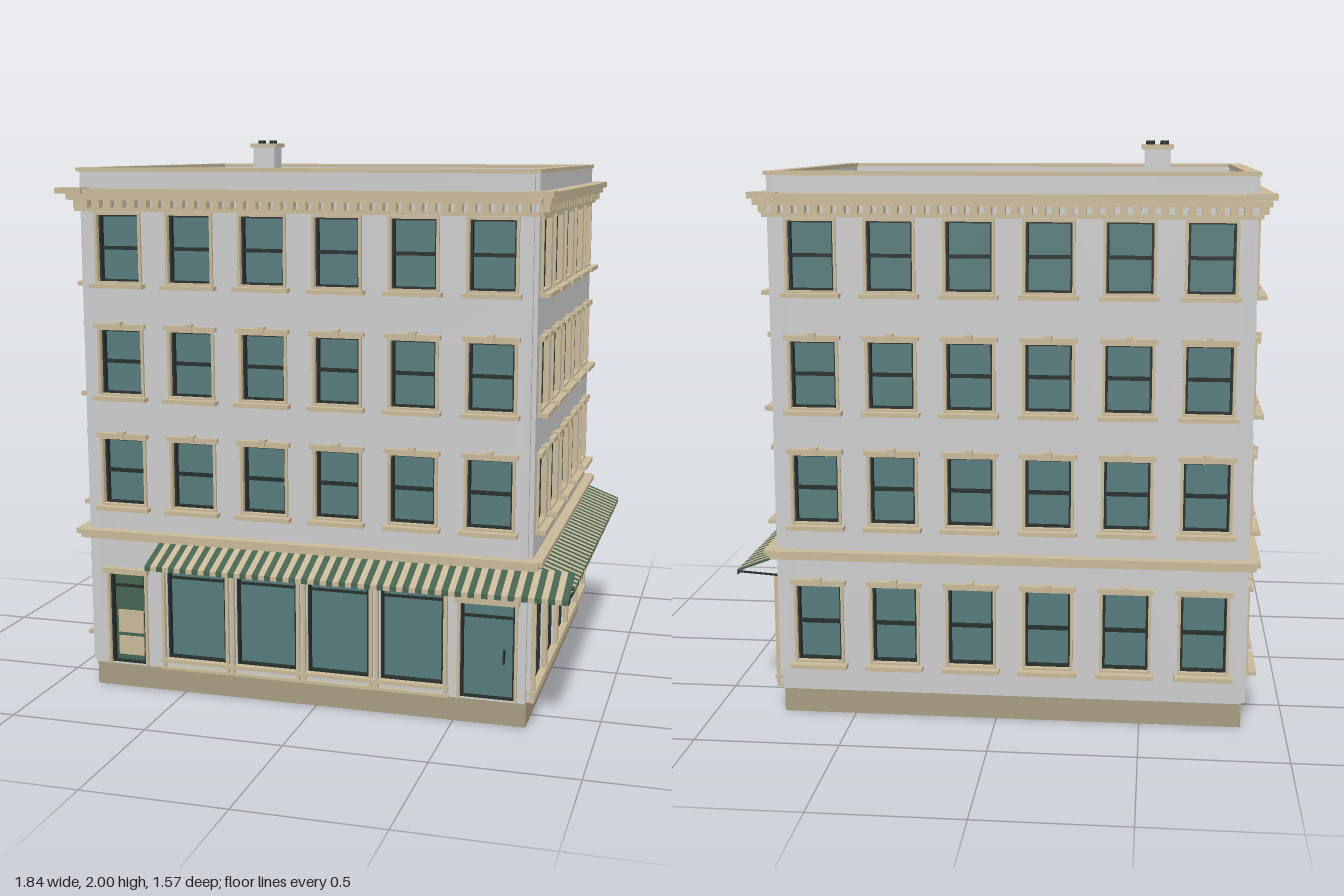
import * as THREE from 'three';

const mat = (color) => new THREE.MeshStandardMaterial({ color, roughness: 0.9 });
const M = {
  wall: mat(0xcccccc), trim: mat(0xc8b898), plinth: mat(0xa89b80), roof: mat(0x686a62),
  glass: mat(0x557a7b), dark: mat(0x252d2b), green: mat(0x456350), hatch: mat(0x3a4446),
};

// Footprint of the building
const X0 = -0.85, X1 = 0.755, Z0 = -0.715, Z1 = 0.625;
const CX = (X0 + X1) / 2, CZ = (Z0 + Z1) / 2, LX = X1 - X0, LZ = Z1 - Z0;
const FACE = 0.015, BACK = -0.025, ROOF = 1.78;
const FLOORS = [[0.695, 0.94], [1.098, 1.335], [1.5, 1.742]];

// Box given by its minimum and maximum corners
function box(parent, name, m, x0, x1, y0, y1, z0, z1) {
  const mesh = new THREE.Mesh(new THREE.BoxGeometry(x1 - x0, y1 - y0, z1 - z0), m);
  mesh.position.set((x0 + x1) / 2, (y0 + y1) / 2, (z0 + z1) / 2);
  mesh.name = name;
  parent.add(mesh);
  return mesh;
}

function part(parent, name) {
  const g = new THREE.Group();
  g.name = name;
  parent.add(g);
  return g;
}

// Rectangular border of four bars
function border(g, name, m, x0, x1, y0, y1, t, z0, z1) {
  box(g, name, m, x0, x0 + t, y0, y1, z0, z1);
  box(g, name, m, x1 - t, x1, y0, y1, z0, z1);
  box(g, name, m, x0 + t, x1 - t, y0, y0 + t, z0, z1);
  box(g, name, m, x0 + t, x1 - t, y1 - t, y1, z0, z1);
}

// Two-sash window with casing, sill and optional lintel
function sashWindow(parent, c, y0, y1, lintel) {
  const g = part(parent, 'window'), h = 0.08, mid = (y0 + y1) / 2;
  box(g, 'glass', M.glass, c - h, c + h, y0, y1, BACK, -0.018);
  border(g, 'sashFrame', M.dark, c - h, c + h, y0, y1, 0.01, -0.02, 0.004);
  box(g, 'meetingRail', M.dark, c - h, c + h, mid - 0.006, mid + 0.006, -0.02, -0.004);
  border(g, 'casing', M.trim, c - h - 0.008, c + h + 0.008, y0 - 0.006, y1 + 0.006, 0.01, 0, 0.024);
  box(g, 'sill', M.trim, c - 0.1, c + 0.1, y0 - 0.018, y0 - 0.003, 0, 0.052);
  if (lintel) {
    box(g, 'lintel', M.trim, c - 0.097, c + 0.097, y1 + 0.003, y1 + 0.019, 0, 0.035);
    box(g, 'keystone', M.trim, c - 0.012, c + 0.012, y1 + 0.003, y1 + 0.027, 0, 0.042);
  }
}

// Large shop window between slim paired columns
function shopWindow(parent, c, bay) {
  const g = part(parent, 'shopWindow'), h = 0.112;
  box(g, 'glass', M.glass, c - h, c + h, 0.13, 0.5, BACK, -0.015);
  border(g, 'frame', M.dark, c - h, c + h, 0.13, 0.5, 0.007, -0.02, 0.008);
  box(g, 'transomBar', M.dark, c - h, c + h, 0.426, 0.434, -0.02, -0.005);
  box(g, 'sill', M.trim, c - bay / 2, c + bay / 2, 0.118, 0.131, 0, 0.034);
  box(g, 'baseBoard', M.trim, c - bay / 2, c + bay / 2, 0.09, 0.1, 0, 0.028);
  for (const s of [-1, 1]) {
    const x = c + s * (bay / 2 - 0.011);
    box(g, 'column', M.trim, x - 0.006, x + 0.006, 0.1, 0.5, 0, 0.03);
  }
}

function doorway(parent, c, h, top, shopDoor) {
  const g = part(parent, shopDoor ? 'shopDoor' : 'houseDoor');
  const split = top - 0.055;
  box(g, 'doorLeaf', shopDoor ? M.glass : M.green, c - h, c + h, 0.09, top, BACK, -0.012);
  border(g, 'doorFrame', M.dark, c - h, c + h, 0.09, top, 0.009, -0.015, 0.01);
  box(g, 'transomBar', M.dark, c - h, c + h, split - 0.004, split + 0.004, -0.015, 0);
  box(g, 'lintel', M.trim, c - h - 0.016, c + h + 0.016, top, top + 0.02, 0, 0.042);
  for (const s of [-1, 1]) {
    box(g, 'jamb', M.trim, c + s * (h + 0.004) - 0.005, c + s * (h + 0.004) + 0.005, 0.09, top, 0, 0.024);
  }
  if (shopDoor) {
    box(g, 'handle', M.dark, c + 0.052, c + 0.058, 0.22, 0.27, -0.012, 0.004);
  } else {
    box(g, 'doorPanel', M.trim, c - 0.049, c + 0.049, 0.205, 0.29, -0.012, -0.005);
    box(g, 'doorPanel', M.trim, c - 0.049, c + 0.049, 0.12, 0.19, -0.012, -0.005);
  }
}

// Sloping striped awning with a short valance and support rods
function awning(parent, u0, u1, bay) {
  const g = part(parent, 'awning');
  const count = Math.round((u1 - u0) / (bay / 12)), w = (u1 - u0) / count;
  const s = new THREE.Shape([[0.015, 0.57], [0.16, 0.515], [0.16, 0.498], [0.156, 0.498], [0.156, 0.511], [0.015, 0.564]]
    .map(([z, y]) => new THREE.Vector2(-z, y)));
  const geo = new THREE.ExtrudeGeometry(s, { depth: w, bevelEnabled: false }).rotateY(Math.PI / 2);
  for (let i = 0; i < count; i++) {
    const stripe = new THREE.Mesh(geo, i % 2 ? M.trim : M.green);
    stripe.name = 'awningStripe';
    stripe.position.x = u0 + i * w;
    g.add(stripe);
  }
  const rods = Math.round((u1 - u0) / bay);
  for (let i = 0; i <= rods; i++) {
    const x = u0 + 0.005 + (i / rods) * (u1 - u0 - 0.01);
    const rod = box(g, 'awningRod', M.dark, x - 0.003, x + 0.003, 0.501, 0.507, 0.012, 0.156);
    rod.rotation.x = -0.07;
  }
}

// One side of the building: u runs along it, z points outward
function facade(root, name, len, n, x, z, turn, ground) {
  const g = part(root, name), bay = len / n;
  g.position.set(x, 0, z);
  g.rotation.y = turn;

  const wall = new THREE.Shape([[0, 0.09], [len, 0.09], [len, 1.89], [0, 1.89]].map((p) => new THREE.Vector2(...p)));
  const hole = (c, h, y0, y1) => wall.holes.push(new THREE.Path(
    [[c - h, y0], [c - h, y1], [c + h, y1], [c + h, y0]].map((p) => new THREE.Vector2(...p))));

  for (let i = 0; i < n; i++) {
    const c = (i + 0.5) * bay, kind = ground(i);
    FLOORS.forEach(([y0, y1], f) => {
      hole(c, 0.08, y0, y1);
      sashWindow(g, c, y0, y1, f < 2);
    });
    if (kind === 'window') {
      hole(c, 0.08, 0.195, 0.475);
      sashWindow(g, c, 0.195, 0.475, true);
    } else if (kind === 'shop') {
      hole(c, 0.112, 0.13, 0.5);
      shopWindow(g, c, bay);
    } else {
      const shop = kind === 'shopDoor', h = shop ? 0.096 : 0.07;
      hole(c, h, 0.095, 0.44);
      doorway(g, c, h, 0.44, shop);
    }
    // Bracket blocks under the cornice
    for (let k = 0; k < 6; k++) {
      const d = (i + (k + 0.5) / 6) * bay;
      box(g, 'corniceBlock', M.trim, d - 0.013, d + 0.013, 1.763, 1.792, 0, 0.048);
    }
  }
  const panel = new THREE.Mesh(new THREE.ExtrudeGeometry(wall, { depth: FACE - BACK, bevelEnabled: false }), M.wall);
  panel.position.z = BACK;
  panel.name = 'wall';
  g.add(panel);

  // Belt course, cornice and parapet coping
  box(g, 'beltCourse', M.trim, -0.04, len + 0.04, 0.585, 0.602, 0, 0.052);
  box(g, 'beltCourseLower', M.trim, -0.03, len + 0.03, 0.568, 0.585, 0, 0.038);
  box(g, 'corniceFoot', M.trim, -0.02, len + 0.02, 1.75, 1.765, 0, 0.03);
  box(g, 'corniceMiddle', M.trim, -0.03, len + 0.03, 1.79, 1.81, 0, 0.057);
  box(g, 'corniceTop', M.trim, 0, len, 1.81, 1.83, 0, 0.072);
  box(g, 'coping', M.trim, -0.02, len + 0.02, 1.888, 1.902, -0.03, 0.02);
  return g;
}

export function createModel() {
  const root = new THREE.Group();
  root.name = 'cornerBuilding';

  // Solid core, base and flat roof
  box(root, 'plinth', M.plinth, X0, X1, 0, 0.09, Z0, Z1);
  box(root, 'core', M.wall, X0 + 0.025, X1 - 0.025, 0.09, ROOF - 0.02, Z0 + 0.025, Z1 - 0.025);
  box(root, 'roof', M.roof, X0 + 0.02, X1 - 0.02, ROOF - 0.02, ROOF, Z0 + 0.02, Z1 - 0.02);

  const front = facade(root, 'frontFacade', LX, 6, X0, Z1, 0, (i) => (i === 0 ? 'door' : i === 5 ? 'shopDoor' : 'shop'));
  const side = facade(root, 'rightFacade', LZ, 5, X1, Z1, Math.PI / 2, () => 'shop');
  facade(root, 'backFacade', LX, 6, X1, Z0, Math.PI, () => 'window');
  facade(root, 'leftFacade', LZ, 5, X0, Z0, -Math.PI / 2, () => 'window');
  awning(front, LX / 6, LX + 0.16, LX / 6);
  awning(side, -0.015, LZ, LZ / 5);

  // Cornice corner blocks
  for (const [x0, x1] of [[-0.922, -0.822], [0.727, 0.827]]) {
    for (const [z0, z1] of [[-0.76, -0.66], [0.61, 0.71]]) {
      box(root, 'corniceCorner', M.trim, x0, x1, 1.812, 1.833, z0, z1);
    }
  }

  // Chimney with two pots
  const chimney = part(root, 'chimney');
  box(chimney, 'stack', M.wall, -0.577, -0.487, ROOF, 1.97, -0.47, -0.38);
  box(chimney, 'cap', M.trim, -0.586, -0.476, 1.97, 1.988, -0.48, -0.37);
  for (const x of [-0.555, -0.507]) {
    const pot = new THREE.Mesh(new THREE.CylinderGeometry(0.015, 0.015, 0.014, 16), M.dark);
    pot.position.set(x, 1.993, -0.425);
    pot.name = 'chimneyPot';
    chimney.add(pot);
  }

  // Roof hatch
  const hatch = part(root, 'roofHatch');
  box(hatch, 'curb', M.trim, 0.2, 0.34, ROOF, 1.83, -0.472, -0.298);
  box(hatch, 'lid', M.hatch, 0.192, 0.348, 1.83, 1.85, -0.482, -0.288);
  box(hatch, 'handle', M.trim, 0.255, 0.287, 1.85, 1.858, -0.372, -0.362);

  return root;
}
